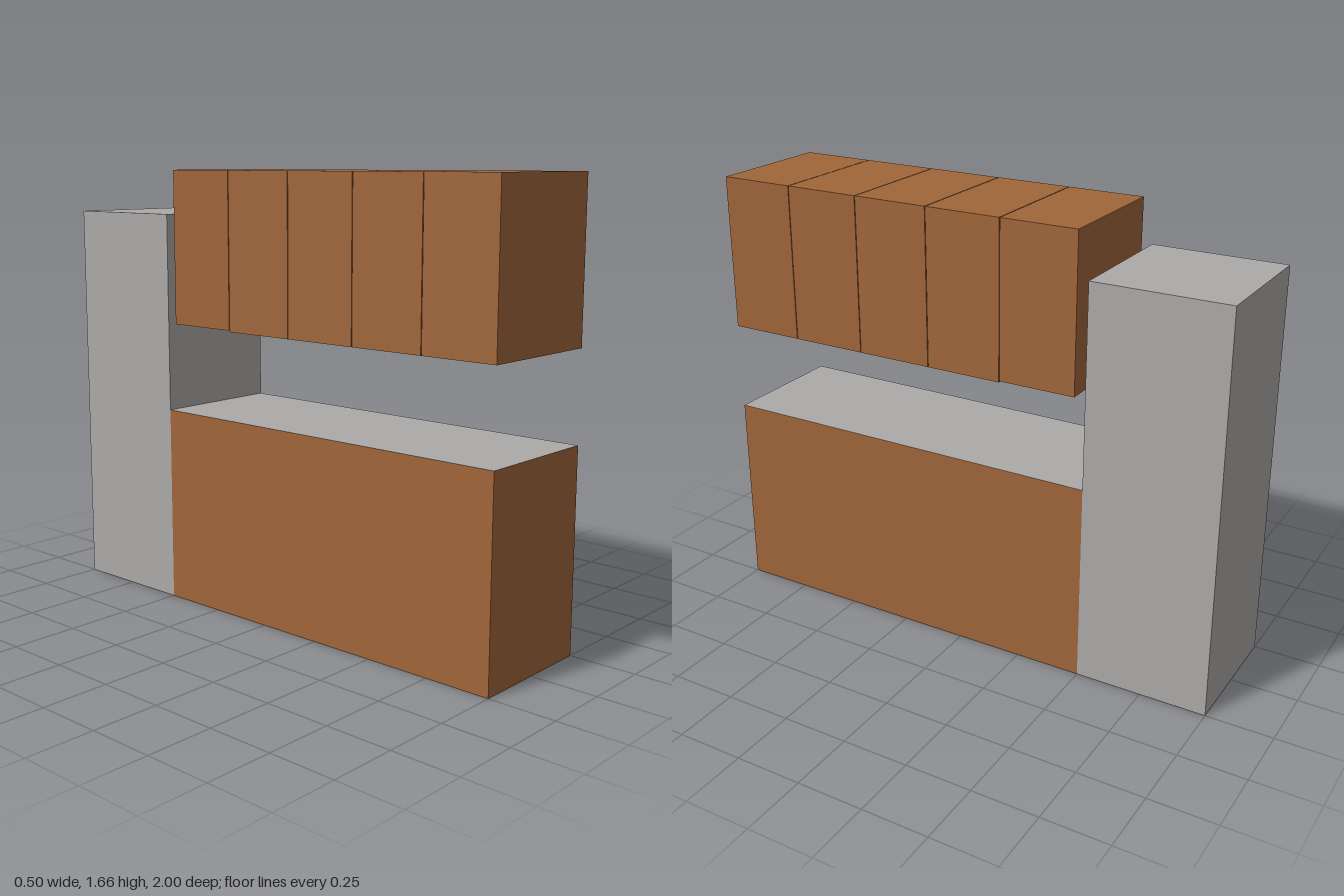
import * as THREE from 'three';

const wood = new THREE.MeshStandardMaterial({ color: 0xa0663a });
wood.name = 'brown wood';
const steel = new THREE.MeshStandardMaterial({ color: 0xacaaa8 });
steel.name = 'light grey';

// Box spanning y0..y1 and z0..z1 at the shared width
function block(name, y0, y1, z0, z1, material) {
  const mesh = new THREE.Mesh(new THREE.BoxGeometry(0.5, y1 - y0, z1 - z0), material);
  mesh.position.set(0, (y0 + y1) / 2, (z0 + z1) / 2);
  mesh.name = name;
  return mesh;
}

export function createModel() {
  const model = new THREE.Group();
  model.name = 'kitchenRow';

  // Tall refrigerator at the back end
  model.add(block('refrigerator', 0, 1.5, -1, -0.5, steel));

  // Three base cabinets, each with a grey worktop face (the +y side)
  const baseFaces = [wood, wood, steel, wood, wood, wood];
  for (let i = 0; i < 3; i++) {
    const z = -0.5 + i * 0.5;
    model.add(block('baseCabinet' + (i + 1), 0, 0.75, z, z + 0.5, baseFaces));
  }

  // Five wall cabinets with hairline gaps; the rearmost sits a touch higher
  const depth = 0.2925, gap = 0.003;
  for (let i = 0; i < 5; i++) {
    const front = 1 - i * depth;
    const bottom = i === 4 ? 1.087 : 1.082;
    model.add(block('wallCabinet' + (i + 1), bottom, 1.665, front - depth + gap, front, wood));
  }
  return model;
}
